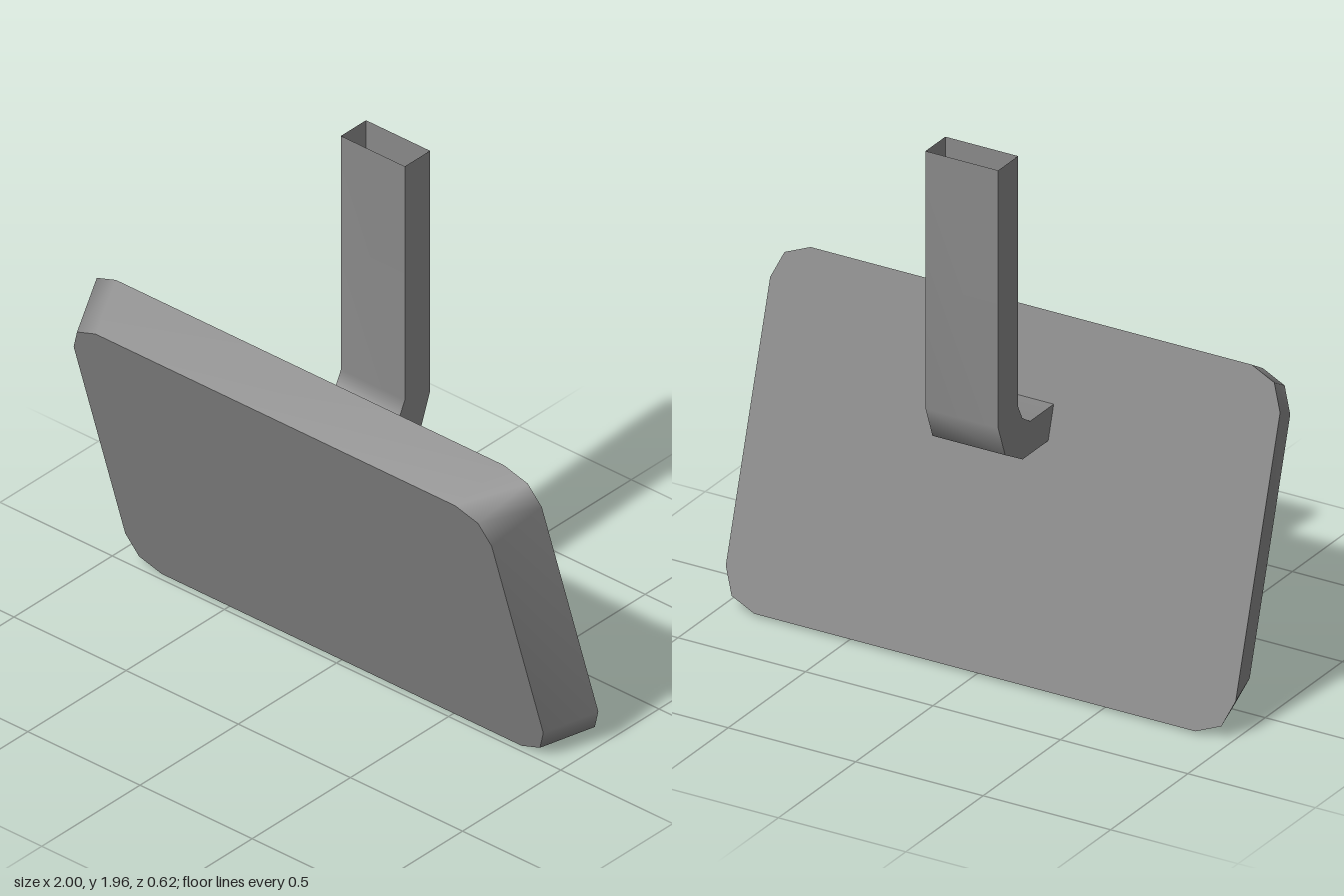
import * as THREE from 'three';

const grey = new THREE.MeshStandardMaterial({ color: 0x888888 });
grey.name = 'grey';
const greyOpen = grey.clone();
greyOpen.side = THREE.DoubleSide;

// Smooth strip of quads between two rows of points
function strip(a, b, closed = false) {
  const n = a.length, index = [];
  for (let i = 0; i < (closed ? n : n - 1); i++) {
    const j = (i + 1) % n;
    index.push(i, j, n + j, i, n + j, n + i);
  }
  const g = new THREE.BufferGeometry().setFromPoints([...a, ...b]);
  g.setIndex(index);
  g.computeVertexNormals();
  return g;
}

// Rounded rectangle with two facets per corner, counter-clockwise
function roundedLoop(hw, hh, r, z) {
  const pts = [];
  [[1, 1], [-1, 1], [-1, -1], [1, -1]].forEach(([sx, sy], q) => {
    for (let k = 0; k <= 2; k++) {
      const t = (q + k / 2) * Math.PI / 2;
      pts.push(new THREE.Vector3(sx * (hw - r) + r * Math.cos(t), sy * (hh - r) + r * Math.sin(t), z));
    }
  });
  return pts;
}

function add(parent, name, geometry, material) {
  const m = new THREE.Mesh(geometry, material);
  m.name = name;
  parent.add(m);
  return m;
}

export function createModel() {
  const model = new THREE.Group();
  model.name = 'wallPanel';

  // Tilted panel, narrower at the front
  const panel = new THREE.Group();
  panel.name = 'panel';
  const depth = 0.1985;
  const back = roundedLoop(1, 0.635, 0.135, 0);
  const front = roundedLoop(0.932, 0.587, 0.13, depth);
  add(panel, 'panelRim', strip(back, front, true), grey);
  const cap = loop => new THREE.ShapeGeometry(new THREE.Shape(loop.map(p => new THREE.Vector2(p.x, p.y))));
  add(panel, 'panelFront', cap(front), grey).position.z = depth;
  add(panel, 'panelBack', cap(back), grey).rotation.y = Math.PI;
  panel.position.set(0, 0.6225, -0.0475);
  panel.rotation.x = THREE.MathUtils.degToRad(16.7);
  model.add(panel);

  // Hollow bent arm, profiles as [z, y] from the open top to the panel
  const arm = new THREE.Group();
  arm.name = 'arm';
  const w = 0.1425;
  const inner = [[-0.185, 1.96], [-0.185, 1.025], [-0.157, 0.97], [-0.107, 0.937], [0.046, 0.937]];
  const outer = [[-0.313, 1.96], [-0.313, 0.997], [-0.268, 0.878], [-0.155, 0.815], [0.01, 0.815]];
  const at = (profile, x) => profile.map(([z, y]) => new THREE.Vector3(x, y, z));
  add(arm, 'armFront', strip(at(inner, -w), at(inner, w)), greyOpen);
  add(arm, 'armBack', strip(at(outer, w), at(outer, -w)), greyOpen);
  add(arm, 'armLeft', strip(at(inner, w), at(outer, w)), greyOpen);
  add(arm, 'armRight', strip(at(outer, -w), at(inner, -w)), greyOpen);
  model.add(arm);

  return model;
}
